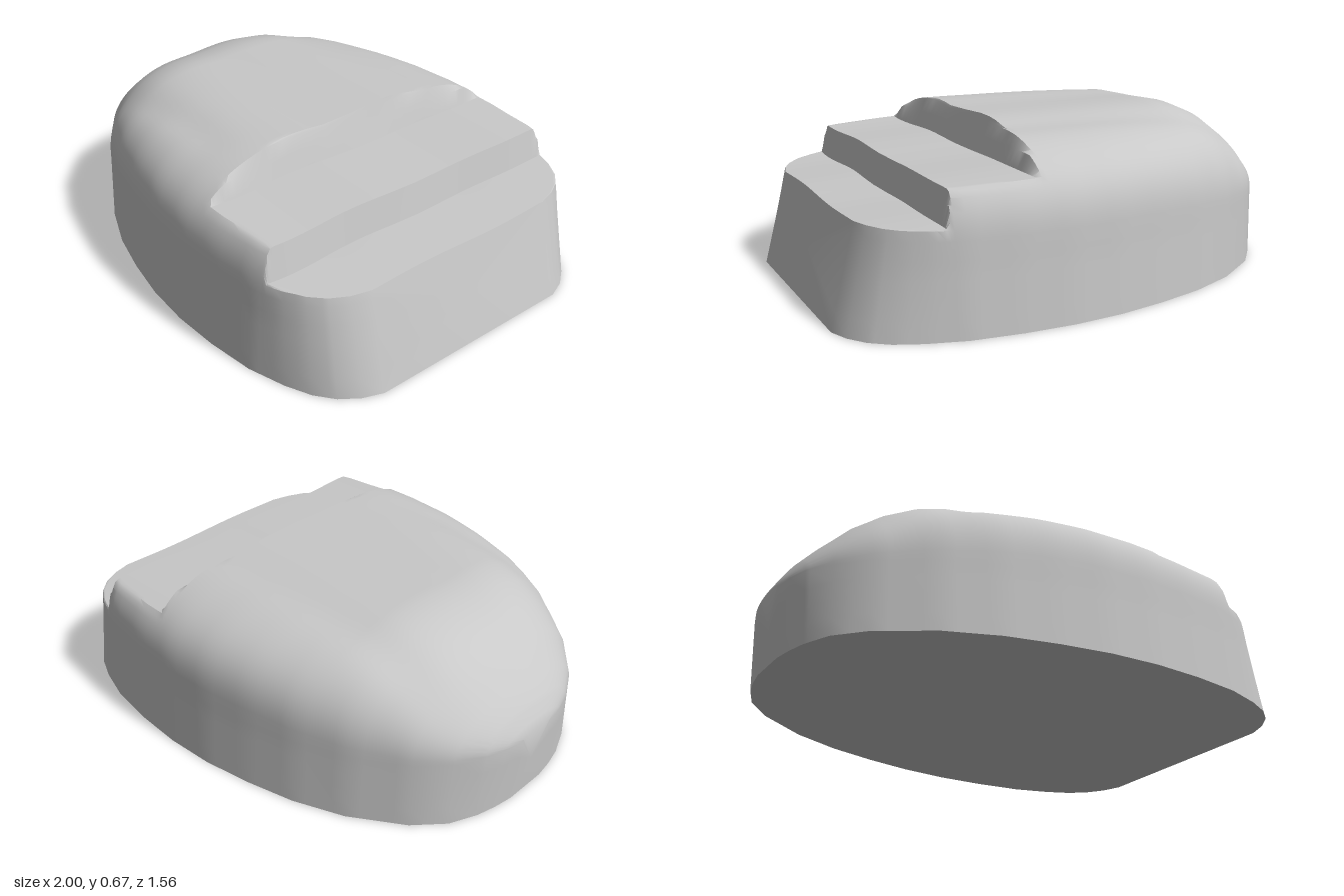
import * as THREE from 'three';
import { toCreasedNormals } from 'three/addons/utils/BufferGeometryUtils.js';

// plan half-width along x
const WIDTH = [[-1, 0.09], [-0.985, 0.17], [-0.96, 0.25], [-0.9, 0.36], [-0.8, 0.47], [-0.6, 0.6], [-0.4, 0.68],
  [-0.2, 0.73], [0, 0.765], [0.2, 0.778], [0.4, 0.77], [0.6, 0.745], [0.75, 0.7], [0.85, 0.655], [0.92, 0.6], [0.97, 0.53], [1, 0.45]];
// height of the rounded crown along x
const CROWN = [[-1, 0.3], [-0.985, 0.33], [-0.95, 0.385], [-0.9, 0.44], [-0.8, 0.54], [-0.7, 0.61], [-0.6, 0.65], [-0.5, 0.67], [1, 0.67]];
// ceiling that cuts the three steps
const STEPS = [[-1, 0.7], [0.275, 0.7], [0.28, 0.655], [0.32, 0.53], [0.64, 0.52], [0.665, 0.395], [1, 0.385]];
const WALL = 0.28; // height of the upright wall
const ARC = 48;

function read(table, x) {
  for (let i = 1; i < table.length; i++) {
    const [x0, v0] = table[i - 1], [x1, v1] = table[i];
    if (x <= x1) return THREE.MathUtils.lerp(v0, v1, (x - x0) / (x1 - x0));
  }
  return table[table.length - 1][1];
}

// one cross-section, from the +z foot over the top to the -z foot
function section(x) {
  const w = read(WIDTH, x), crown = read(CROWN, x), ceiling = read(STEPS, x);
  const n = THREE.MathUtils.lerp(2.3, 3.2, THREE.MathUtils.smoothstep(x, -0.9, 0));
  const raw = [];
  for (let k = 0; k < 4; k++) raw.push([w * (1 - 0.02 * k / 4), WALL * k / 4]);
  for (let k = 0; k <= ARC; k++) {
    const a = Math.PI * k / ARC, c = Math.cos(a);
    raw.push([0.98 * w * Math.sign(c) * Math.pow(Math.abs(c), 2 / n),
      WALL + (crown - WALL) * Math.pow(Math.max(Math.sin(a), 0), 2 / n)]);
  }
  for (let k = 3; k >= 0; k--) raw.push([-w * (1 - 0.02 * k / 4), WALL * k / 4]);

  return raw.map(([z, y]) => {
    // shallow lengthwise furrows on the crown, fainter on the steps
    const lift = THREE.MathUtils.smoothstep(y, 0.33, 0.6);
    const furrow = -0.012 * Math.exp(-(((z - 0.1) / 0.12) ** 2)) - 0.012 * Math.exp(-(((z + 0.36) / 0.09) ** 2))
      - 0.014 * Math.exp(-(((z - 0.5) / 0.07) ** 2)) * THREE.MathUtils.smoothstep(-x, -0.25, 0.1);
    const top = Math.min(y, ceiling + 0.004 * Math.sin(9 * z)) + (x < 0.3 ? lift * furrow : 0);
    // sloping end face and slightly wavy risers
    let px = x;
    if (x > 0.68) px -= 0.1 * (top / 0.39) * (x - 0.68) / 0.32;
    else if (x > 0.26) px += 0.006 * Math.sin(11 * z + 1) * lift;
    if (x < -0.9) px += 0.02 * (1 - Math.min(top / WALL, 1)) * (-0.9 - x) / 0.1;
    return [px, top, z];
  });
}

function bodyGeometry() {
  const marks = new Set([...WIDTH, ...CROWN, ...STEPS].map((p) => p[0]));
  for (let i = -18; i <= 18; i++) marks.add(i / 20);
  const rings = [...marks].sort((a, b) => a - b).map(section);
  const m = rings[0].length, count = rings.length;
  const positions = rings.flat(2), index = [];
  for (let i = 0; i < count - 1; i++) {
    for (let j = 0; j < m; j++) {
      const k = (j + 1) % m;
      const a = i * m + j, b = i * m + k, c = a + m, d = b + m;
      index.push(a, c, b, b, c, d);
    }
  }
  // end faces
  [0, count - 1].forEach((r) => {
    const centre = positions.length / 3, ring = rings[r];
    const mid = (ring[0][1] + ring[m >> 1][1]) / 2;
    positions.push((ring[0][0] + ring[m >> 1][0]) / 2, mid, 0);
    for (let j = 0; j < m; j++) {
      const a = r * m + j, b = r * m + (j + 1) % m;
      if (r === 0) index.push(centre, a, b);
      else index.push(centre, b, a);
    }
  });
  const g = new THREE.BufferGeometry();
  g.setAttribute('position', new THREE.Float32BufferAttribute(positions, 3));
  g.setIndex(index);
  return toCreasedNormals(g, 0.65);
}

export function createModel() {
  const group = new THREE.Group();
  group.name = 'steppedBlock';
  const stone = new THREE.MeshStandardMaterial({ color: 0xc8c8c8 });
  stone.name = 'lightGrey';
  const body = new THREE.Mesh(bodyGeometry(), stone);
  body.name = 'roundedBodyWithSteps';
  group.add(body);
  return group;
}
